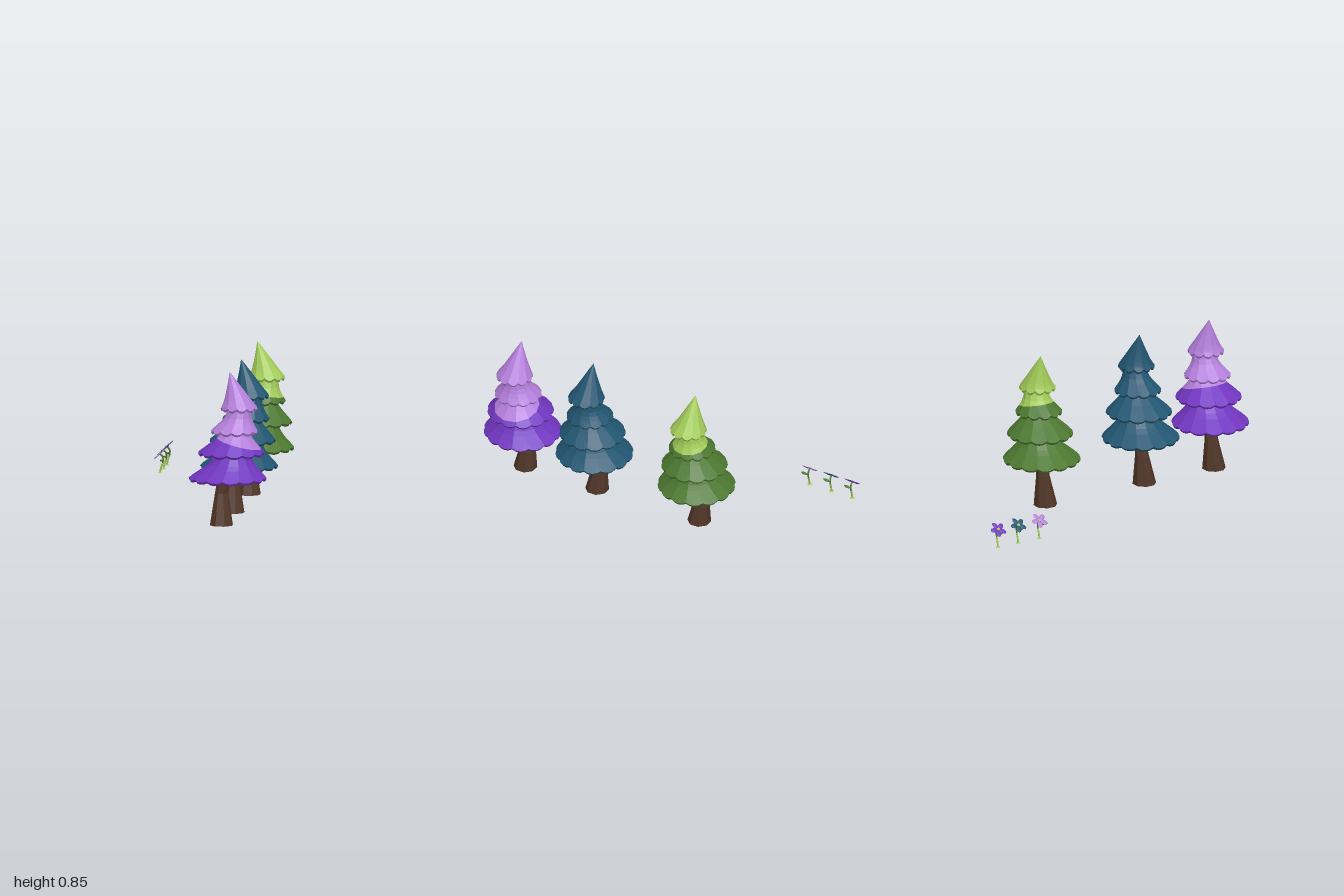
import * as THREE from 'three';

const mat = (name, color, extra = {}) => {
  const m = new THREE.MeshStandardMaterial({ color, ...extra });
  m.name = name;
  return m;
};

// Flat-shaded geometry from a list of triangles (arrays of three Vector3)
function fromTriangles(tris) {
  const g = new THREE.BufferGeometry().setFromPoints(tris.flat());
  g.computeVertexNormals();
  return g;
}

// Triangles joining successive rings of points
function skin(rings) {
  const tris = [];
  for (let i = 0; i < rings.length - 1; i++) {
    const p = rings[i], q = rings[i + 1], n = p.length;
    for (let j = 0; j < n; j++) {
      const k = (j + 1) % n;
      tris.push([p[j], q[j], q[k]], [p[j], q[k], p[k]]);
    }
  }
  return tris;
}

// Keep the part of every triangle where height(point) is positive
function clip(tris, height) {
  const out = [];
  for (const t of tris) {
    const poly = [];
    t.forEach((a, i) => {
      const b = t[(i + 1) % 3], ha = height(a), hb = height(b);
      if (ha >= 0) poly.push(a);
      if ((ha >= 0) !== (hb >= 0)) poly.push(a.clone().lerp(b, ha / (ha - hb)));
    });
    for (let i = 1; i + 1 < poly.length; i++) out.push([poly[0], poly[i], poly[i + 1]]);
  }
  return out;
}

// Foliage tiers: scallop count, z shift and profile points (centre x, y, radius)
const TIERS = [
  { n: 14, dz: 0, pts: [[0.235, 0.46, 0.05], [0.228, 0.39, 0.095], [0.219, 0.335, 0.131], [0.2, 0.268, 0.207]] },
  { n: 13, dz: 0.002, pts: [[0.25, 0.58, 0.04], [0.246, 0.52, 0.069], [0.238, 0.485, 0.097], [0.22, 0.41, 0.176]] },
  { n: 12, dz: 0.006, pts: [[0.262, 0.71, 0.03], [0.265, 0.65, 0.058], [0.256, 0.59, 0.078], [0.239, 0.53, 0.124]] },
  { n: 11, dz: 0.014, pts: [[0.212, 0.846, 0.001], [0.236, 0.77, 0.038], [0.258, 0.69, 0.078], [0.266, 0.659, 0.097]] },
];

function tierTriangles({ n, dz, pts }) {
  const sub = 4;
  const rows = new THREE.CatmullRomCurve3(pts.map((p) => new THREE.Vector3(...p))).getPoints(8);
  const last = rows.length - 1;
  const slope = rows[last].clone().sub(rows[last - 1]).normalize();
  const ring = (i, thick) => {
    const out = [];
    for (let j = 0; j < n * sub; j++) {
      const u = (j % sub) / sub, a = (j / sub / n) * Math.PI * 2;
      // flat panels, with a rounded lip on the last row
      const panel = Math.cos(Math.PI / n) / Math.cos((u - 0.5) * 2 * Math.PI / n);
      const lip = i === last ? 0.016 * Math.pow(Math.sin(Math.PI * u), 0.7) : 0;
      const r = Math.max(0.001, (rows[i].z * panel + slope.z * lip) - thick * 0.6);
      const y = rows[i].y + slope.y * lip - thick;
      out.push(new THREE.Vector3(rows[i].x + r * Math.sin(a), y, dz * (i / last) + r * Math.cos(a)));
    }
    return out;
  };
  const rings = [];
  for (let i = 0; i <= last; i++) rings.push(ring(i, 0));
  for (let i = last; i >= 0; i--) rings.push(ring(i, 0.012));
  return skin(rings);
}

// Bent eight-sided trunk: x, y, z, radius
function trunkGeometry() {
  const path = [[0.166, 0, 0.002, 0.065], [0.164, 0.175, -0.016, 0.037], [0.179, 0.26, -0.018, 0.036],
    [0.232, 0.45, -0.008, 0.03], [0.258, 0.68, 0.008, 0.018]];
  const ring = ([x, y, z, r]) => Array.from({ length: 8 }, (_, j) => {
    const a = (j + 0.5) * Math.PI / 4;
    return new THREE.Vector3(x + r * Math.sin(a), y, z + r * Math.cos(a));
  });
  const [x, , z] = path[0], t = path[path.length - 1];
  const rings = [ring([t[0], t[1], t[2], 0.0005]), ...path.slice().reverse().map(ring), ring([x, 0, z, 0.0005])];
  return fromTriangles(skin(rings));
}

export function createModel() {
  const model = new THREE.Group();
  const brown = mat('bark brown', 0x523728);
  const lavender = mat('lavender', 0xb580dc);
  const purple = mat('deep purple', 0x7136c0);
  const blue = mat('dusk blue', 0x225672);
  const green = mat('forest green', 0x4c7830);
  const lime = mat('light green', 0xa2cb59);

  const add = (parent, name, geo, material) => {
    const m = new THREE.Mesh(geo, material);
    m.name = name;
    parent.add(m);
    return m;
  };

  // Trees: lower colour, upper colour and the sloping line between them
  const trunk = trunkGeometry();
  const tierTris = TIERS.map(tierTriangles);
  const trees = [
    { name: 'purpleTree', z: 0.785, low: purple, high: lavender, y0: 0.47, tilt: 0.257 },
    { name: 'blueTree', z: 0.335, low: blue },
    { name: 'greenTree', z: -0.305, low: green, high: lime, y0: 0.573, tilt: 0.2 },
  ];
  for (const { name, z, low, high, y0, tilt } of trees) {
    const tree = new THREE.Group();
    tree.name = name;
    tree.position.z = z;
    add(tree, 'trunk', trunk, brown);
    tierTris.forEach((tris, i) => {
      if (!high) return add(tree, `foliageTier${i + 1}`, fromTriangles(tris), low);
      const h = (p) => p.y - y0 + tilt * (p.x - 0.2);
      const top = clip(tris, h), bottom = clip(tris, (p) => -h(p));
      if (top.length) add(tree, `foliageTier${i + 1}Upper`, fromTriangles(top), high);
      if (bottom.length) add(tree, `foliageTier${i + 1}Lower`, fromTriangles(bottom), low);
    });
    model.add(tree);
  }

  // Flowers: curved stem, side leaf and a tilted five-petal head
  const curve = (...p) => new THREE.CatmullRomCurve3(p.map(([x, y, z = 0]) => new THREE.Vector3(x, y, z)));
  const stemLow = new THREE.TubeGeometry(curve([-0.379, 0.047], [-0.374, 0.073], [-0.365, 0.1]), 6, 0.0055, 6);
  const stemHigh = new THREE.TubeGeometry(curve([-0.365, 0.1], [-0.362, 0.125], [-0.369, 0.142], [-0.381, 0.149]), 8, 0.005, 6);
  const foot = new THREE.CylinderGeometry(0.006, 0.013, 0.006, 8);
  const petal = new THREE.SphereGeometry(1, 10, 6).scale(0.0215, 0.003, 0.0145).translate(0.0265, 0, 0);
  const leaf = new THREE.SphereGeometry(1, 8, 6).scale(0.009, 0.006, 0.02);
  const heart = new THREE.CylinderGeometry(0.008, 0.01, 0.006, 8);
  const flowers = [['lavenderFlower', -0.688, lavender], ['blueFlower', -0.825, blue], ['purpleFlower', -0.955, purple]];
  for (const [name, z, colour] of flowers) {
    const flower = new THREE.Group();
    flower.name = name;
    flower.position.z = z;
    add(flower, 'lowerStem', stemLow, lime);
    add(flower, 'upperStem', stemHigh, green);
    add(flower, 'stemFoot', foot, lime).position.set(-0.379, 0.048, 0);
    const l = add(flower, 'leaf', leaf, green);
    l.position.set(-0.366, 0.118, 0.026);
    l.rotation.x = -0.15;
    const head = new THREE.Group();
    head.name = 'flowerHead';
    head.position.set(-0.381, 0.15, 0);
    head.rotation.z = 0.72;
    for (let i = 0; i < 5; i++) {
      add(head, 'petal', petal, colour).rotation.y = Math.PI / 2 + i * Math.PI * 0.4;
    }
    add(head, 'flowerCentre', heart, lime).position.y = 0.002;
    flower.add(head);
    model.add(flower);
  }
  return model;
}
